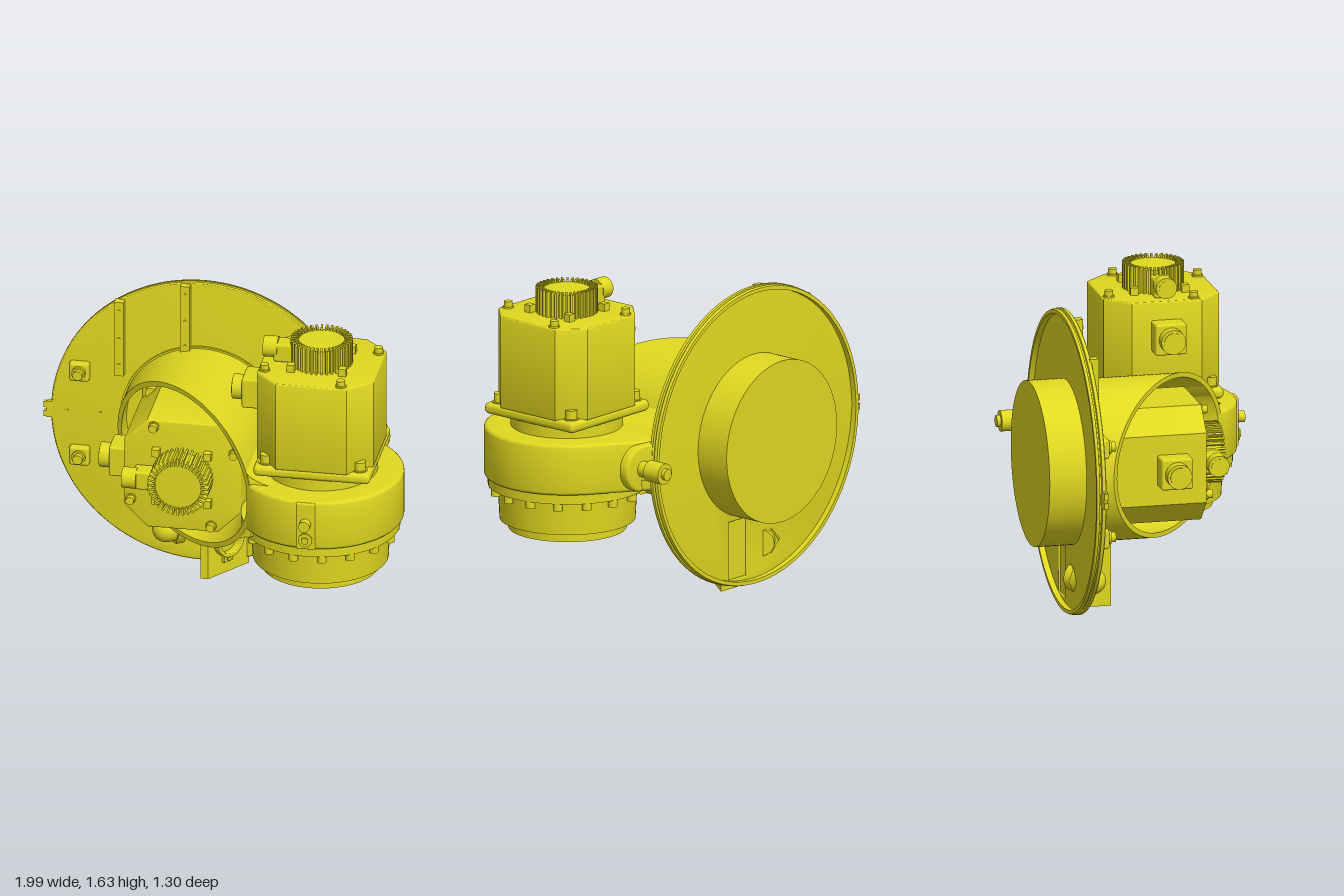
import * as THREE from 'three';
import { toCreasedNormals } from 'three/addons/utils/BufferGeometryUtils.js';
import { RoundedBoxGeometry } from 'three/addons/geometries/RoundedBoxGeometry.js';

const mat = new THREE.MeshStandardMaterial({ color: 0xe0d820, side: THREE.DoubleSide });
const CX = -0.17, CY = 0.8;              // axis of the disc and drum
const AX = 0.56, AZ = 0.17;              // axis of the upright motor
const diagonal = x => -0.35 + (x + 0.63) * 0.92;   // slanted cut plane

function add(parent, name, geo, x = 0, y = 0, z = 0) {
  const m = new THREE.Mesh(geo, mat);
  m.name = name;
  m.position.set(x, y, z);
  parent.add(m);
  return m;
}
const box = (p, n, x0, x1, y0, y1, z0, z1) =>
  add(p, n, new THREE.BoxGeometry(x1 - x0, y1 - y0, z1 - z0), (x0 + x1) / 2, (y0 + y1) / 2, (z0 + z1) / 2);
// Cylinders between two stations along each axis
const cylY = (p, n, r, y0, y1, x, z, seg = 48, rTop = r) =>
  add(p, n, new THREE.CylinderGeometry(rTop, r, y1 - y0, seg), x, (y0 + y1) / 2, z);
const cylZ = (p, n, r, z0, z1, x, y, seg = 48) =>
  add(p, n, new THREE.CylinderGeometry(r, r, z1 - z0, seg).rotateX(Math.PI / 2), x, y, (z0 + z1) / 2);
const cylX = (p, n, r, x0, x1, y, z, seg = 32) =>
  add(p, n, new THREE.CylinderGeometry(r, r, x1 - x0, seg).rotateZ(Math.PI / 2), (x0 + x1) / 2, y, z);

function extrude(shape, depth, bevel = 0) {
  return new THREE.ExtrudeGeometry(shape, {
    depth: depth - 2 * bevel, curveSegments: 48, bevelEnabled: bevel > 0,
    bevelSize: bevel, bevelThickness: bevel, bevelOffset: -bevel, bevelSegments: 3,
  }).translate(0, 0, bevel);
}
const crease = g => toCreasedNormals(g, 0.6);
const upright = g => crease(g.rotateX(-Math.PI / 2));  // shape drawn in (x, -z)
const polygon = pts => new THREE.Shape(pts.map(p => new THREE.Vector2(...p)));

function capBolt(p, x, y, z, r, h) {
  cylY(p, 'boltWasher', r * 1.3, y, y + h * 0.25, x, z, 20);
  cylY(p, 'bolt', r, y, y + h, x, z, 20);
}

// Servo motor standing on y = 0.9 about its own axis
function motor(name) {
  const g = new THREE.Group();
  g.name = name;
  cylY(g, 'motorPilot', 0.29, 0.88, 0.97, 0, 0);
  add(g, 'motorBasePlate', new RoundedBoxGeometry(0.61, 0.06, 0.61, 3, 0.025), 0, 0.99, 0);
  const a = 0.305, c = 0.185;
  const body = polygon([[-c, -a], [c, -a], [a, -c], [a, c], [c, a], [-c, a], [-a, c], [-a, -c]]);
  add(g, 'motorBody', upright(extrude(body, 0.49, 0.008)), 0, 1.01, 0);
  for (let i = 0; i < 4; i++) {
    const t = i * Math.PI / 2, rot = (x, z) => [x * Math.cos(t) - z * Math.sin(t), x * Math.sin(t) + z * Math.cos(t)];
    const [bx, bz] = rot(0.245, 0.245), [sx, sz] = rot(0.15, 0.27), [fx, fz] = rot(0.135, 0.135);
    capBolt(g, bx, 1.01, bz, 0.03, 0.06);
    capBolt(g, sx, 1.5, sz, 0.022, 0.035);
    box(g, 'heatSinkFoot', fx - 0.02, fx + 0.02, 1.49, 1.54, fz - 0.02, fz + 0.02);
  }
  // Finned cap
  cylY(g, 'heatSinkCore', 0.135, 1.49, 1.62, 0, 0);
  const n = 36;
  for (let i = 0; i < n; i++) {
    const t = i / n * Math.PI * 2;
    const fin = add(g, 'heatSinkFin', new THREE.BoxGeometry(0.04, 0.14, 0.011), Math.cos(t) * 0.14, 1.565, Math.sin(t) * 0.14);
    fin.rotation.y = -t;
  }
  // Cable sockets
  add(g, 'topSocketBody', new RoundedBoxGeometry(0.17, 0.1, 0.1, 2, 0.012), -0.16, 1.55, 0);
  cylX(g, 'topSocket', 0.055, -0.3, -0.225, 1.565, 0);
  cylX(g, 'topSocketBore', 0.04, -0.302, -0.29, 1.565, 0);
  add(g, 'sideSocketBody', new RoundedBoxGeometry(0.11, 0.165, 0.165, 2, 0.012), -0.35, 1.32, 0);
  cylX(g, 'sideSocket', 0.065, -0.46, -0.39, 1.32, 0);
  cylX(g, 'sideSocketTip', 0.05, -0.464, -0.45, 1.32, 0);
  return g;
}

export function createModel() {
  const model = new THREE.Group();

  // Backing disc with a raised rear rim and an opening into the foot box
  const disc = new THREE.Shape().absarc(CX, CY, 0.79, 0, Math.PI * 2);
  disc.holes.push(polygon([[-0.12, 0.06], [-0.12, 0.37], [0.02, 0.37], [0.02, 0.06]]));
  add(model, 'disc', crease(extrude(disc, 0.02, 0.006)), 0, 0, -0.46);
  const rim = new THREE.LatheGeometry([[0.765, -0.44], [0.785, -0.44], [0.792, -0.445], [0.792, -0.462], [0.78, -0.465],
    [0.78, -0.472], [0.79, -0.475], [0.785, -0.49], [0.765, -0.49], [0.765, -0.44]].map(p => new THREE.Vector2(...p)), 96);
  add(model, 'discRim', crease(rim.toNonIndexed().rotateX(Math.PI / 2)), CX, CY, 0);
  cylZ(model, 'rearHub', 0.43, -0.655, -0.43, CX, CY, 96);

  // Drum sleeve, its front cut along the slanted plane
  const ring = new THREE.Shape().absarc(CX, CY, 0.42, 0, Math.PI * 2);
  ring.holes.push(new THREE.Path().absarc(CX, CY, 0.395, 0, Math.PI * 2, true));
  const sleeve = extrude(ring, 1);
  const sp = sleeve.attributes.position;
  for (let i = 0; i < sp.count; i++) sp.setZ(i, sp.getZ(i) > 0.5 ? diagonal(sp.getX(i)) : -0.45);
  sleeve.computeVertexNormals();
  add(model, 'drumSleeve', crease(sleeve));

  // Web flaring from the drum into the arm, cut by the same plane
  const s = 0.9, ex = CX + 0.41 * Math.cos(s), ey = 0.41 * Math.sin(s);
  const web = new THREE.Shape().moveTo(ex, CY + ey);
  web.quadraticCurveTo(0.21, 0.9, 0.4, 0.895);
  web.lineTo(0.4, 0.635);
  web.quadraticCurveTo(0.21, 0.63, ex, CY - ey);
  web.absarc(CX, CY, 0.41, -s, s);
  const webGeo = extrude(web, 1);
  const wp = webGeo.attributes.position;
  for (let i = 0; i < wp.count; i++) wp.setZ(i, wp.getZ(i) > 0.5 ? Math.min(0.45, diagonal(wp.getX(i))) : -0.41);
  webGeo.computeVertexNormals();
  add(model, 'armWeb', crease(webGeo));

  // Arm carrying the upright motor
  const arm = new THREE.Shape().moveTo(0.22, 0.4);
  arm.lineTo(0.48, 0.4);
  arm.quadraticCurveTo(0.5, 0.4, 0.53, 0.37);
  arm.absarc(AX, -AZ, 0.43, 0.97, -2.31, true);
  arm.lineTo(0.22, -diagonal(0.22));
  add(model, 'arm', upright(extrude(arm, 0.27, 0.018)), 0, 0.63, 0);
  cylY(model, 'armBoss', 0.07, 0.88, 0.91, 0.33, -0.34);
  add(model, 'armPad', new RoundedBoxGeometry(0.1, 0.26, 0.04, 2, 0.008), AX, 0.765, AZ + 0.42);
  cylZ(model, 'armPlug', 0.03, 0.59, 0.65, AX, 0.78, 20);
  cylZ(model, 'armScrewWasher', 0.037, 0.59, 0.62, AX, 0.69, 24);
  cylZ(model, 'armScrew', 0.02, 0.59, 0.63, AX, 0.69, 6);

  // Gear output below the arm
  cylY(model, 'gearFlange', 0.41, 0.58, 0.64, AX, AZ, 72);
  cylY(model, 'gearHousing', 0.35, 0.4, 0.59, AX, AZ, 72, 0.36);
  cylY(model, 'gearOutput', 0.305, 0.35, 0.41, AX, AZ, 72);
  for (let i = 0; i < 16; i++) {
    const t = (i + 0.5) / 16 * Math.PI * 2;
    cylY(model, 'flangeBolt', 0.024, 0.54, 0.59, AX + 0.382 * Math.cos(t), AZ + 0.382 * Math.sin(t), 16);
  }

  // The two motors: one upright, one lying in the drum
  const upper = motor('uprightMotor');
  upper.position.set(AX + 0.005, 0, AZ);
  const lying = motor('drumMotor');
  lying.rotation.x = Math.PI / 2;
  lying.position.set(CX + 0.015, CY, -1.29);
  model.add(upper, lying);

  // Ribs with rivets
  for (const [x, y0, y1] of [[-0.6, 1.04, 1.46], [-0.255, 1.18, 1.58]]) {
    box(model, 'rib', x - 0.025, x + 0.025, y0, y1, -0.45, -0.402);
    for (const k of [0.15, 0.5, 0.88]) cylZ(model, 'rivet', 0.01, -0.41, -0.396, x, y0 + (y1 - y0) * k, 12);
  }
  // Bolted pads
  for (const y of [1.04, 0.56]) {
    add(model, 'discPad', new RoundedBoxGeometry(0.105, 0.105, 0.05, 2, 0.015), -0.81, y, -0.425);
    cylZ(model, 'padWasher', 0.036, -0.41, -0.385, -0.81, y, 24);
    cylZ(model, 'padBolt', 0.026, -0.41, -0.36, -0.81, y, 16);
  }
  // Forked tab on the disc edge and two pins beside it
  box(model, 'edgeTab', -0.985, -0.93, 0.755, 0.845, -0.462, -0.44);
  for (const y of [0.775, 0.825]) box(model, 'edgeTabProng', -1, -0.98, y - 0.016, y + 0.016, -0.462, -0.44);
  for (const x of [-0.88, -0.705]) cylZ(model, 'discPin', 0.01, -0.45, -0.436, x, CY, 12);

  // Hollow foot box with a slanted socket face
  const foot = polygon([[-0.14, 0.45], [-0.14, 0.22], [-0.1, 0.22], [0.07, 0.45]]);
  foot.holes.push(polygon([[-0.125, 0.449], [0.05, 0.449], [-0.11, 0.235], [-0.125, 0.235]]));
  add(model, 'footBox', upright(extrude(foot, 0.38)), 0, 0.012, 0);
  const lid = polygon([[-0.14, 0.45], [-0.14, 0.22], [-0.1, 0.22], [0.07, 0.45]]);
  for (const y of [0.01, 0.385]) add(model, 'footLid', upright(extrude(lid, 0.012)), 0, y, 0);
  const socket = new THREE.Group();
  socket.name = 'footSocket';
  socket.position.set(-0.025, 0.2, -0.325);
  socket.rotation.y = Math.atan2(0.23, 0.17);
  const collar = new THREE.Shape().absarc(0, 0, 0.09, 0, Math.PI * 2);
  collar.holes.push(new THREE.Path().absarc(0, 0, 0.07, 0, Math.PI * 2, true));
  add(socket, 'socketCollar', crease(extrude(collar, 0.045, 0.005)));
  for (const sgn of [-1, 1]) {
    box(socket, 'socketEar', -0.03, 0.03, sgn * 0.105 - 0.02, sgn * 0.105 + 0.02, -0.01, 0.018);
    cylZ(socket, 'socketScrew', 0.012, 0, 0.026, 0, sgn * 0.107, 12);
  }
  model.add(socket);

  // Domed hex plug leaning sideways
  const plug = new THREE.Group();
  plug.name = 'domedPlug';
  plug.position.set(-0.28, 0.205, -0.42);
  plug.rotation.z = Math.PI / 2;
  plug.rotation.y = Math.PI / 5;
  plug.rotation.order = 'YZX';
  cylY(plug, 'plugStem', 0.07, -0.05, 0.02, 0, 0);
  cylY(plug, 'plugHex', 0.088, 0, 0.05, 0, 0, 6);
  cylY(plug, 'plugBarrel', 0.07, 0.05, 0.085, 0, 0);
  add(plug, 'plugDome', new THREE.SphereGeometry(0.07, 32, 12, 0, Math.PI * 2, 0, Math.PI / 2), 0, 0.085, 0);
  model.add(plug);

  // Side lug with its stepped pin
  const lug = new THREE.Shape().moveTo(0.44, 0.69).lineTo(0.69, 0.735);
  lug.absarc(0.69, CY, 0.12 / 2 + 0.06, -Math.PI / 2, Math.PI / 2);
  lug.lineTo(0.44, 0.91);
  add(model, 'lug', crease(extrude(lug, 0.06, 0.012)), 0, 0, -0.46);
  for (const [r, z0, z1] of [[0.03, -0.63, -0.6], [0.055, -0.61, -0.51], [0.042, -0.51, -0.45], [0.05, -0.41, -0.385], [0.03, -0.39, -0.35]])
    cylZ(model, 'lugPin', r, z0, z1, 0.69, CY, 32);

  return model;
}
